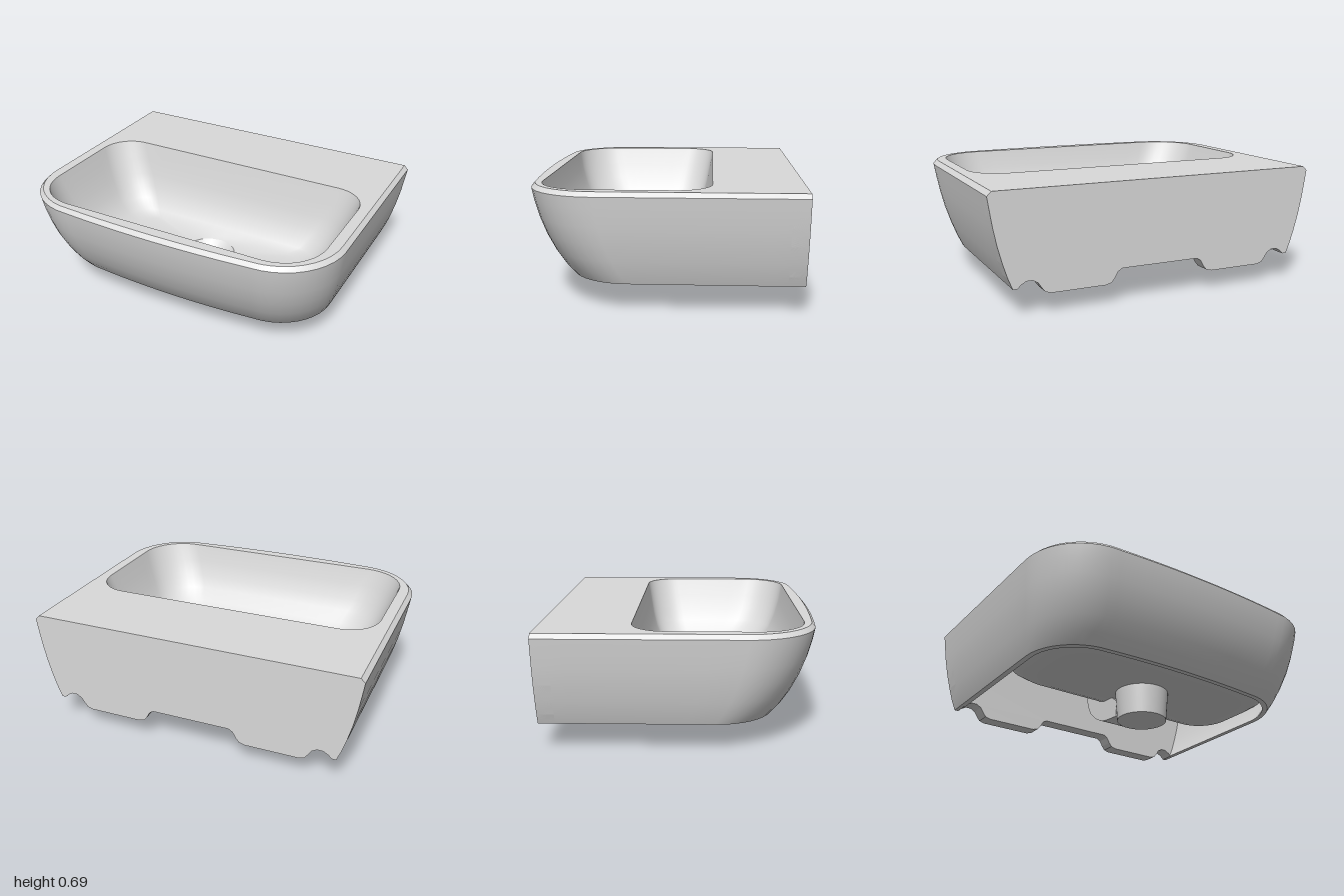
import * as THREE from 'three';

const BACK = -0.78, PLATE = 0.095, DRAIN_Z = 0.105, FOOT = 0.033;

// Plan outline running +x side -> front -> -x side; a back radius closes it with rounded back corners.
function outline({ y, w, zf, zb = BACK, r, bow = 0, rb = 0 }) {
  const pts = [];
  const line = (x0, z0, x1, z1, n) => {
    for (let i = 0; i < n; i++) pts.push([x0 + (x1 - x0) * i / n, z0 + (z1 - z0) * i / n]);
  };
  const arc = (cx, cz, rad, from) => {
    for (let i = 0; i < 10; i++) {
      const a = from + (Math.PI / 2) * i / 10;
      pts.push([cx + rad * Math.cos(a), cz + rad * Math.sin(a)]);
    }
  };
  const zc = zf - bow - r;
  line(w, zb + rb, w, zc, 6);
  arc(w - r, zc, r, 0);
  for (let i = 0; i < 12; i++) {
    const t = 1 - i / 6;
    pts.push([(w - r) * t, zf - bow * t * t]);
  }
  arc(-w + r, zc, r, Math.PI / 2);
  line(-w, zc, -w, zb + rb, 6);
  if (rb) {
    arc(-w + rb, zb + rb, rb, Math.PI);
    line(-w + rb, zb, w - rb, zb, 12);
    arc(w - rb, zb + rb, rb, Math.PI * 1.5);
  } else pts.push([-w, zb]);
  return pts.map(([x, z]) => new THREE.Vector3(x, y, z));
}

// The loop's points pulled on to a circle around the drain.
function drainRing(loop, radius, y) {
  return loop.map((p) => {
    const a = Math.atan2(p.z - DRAIN_Z, p.x);
    return new THREE.Vector3(radius * Math.cos(a), y, DRAIN_Z + radius * Math.sin(a));
  });
}

// Skin over loops: bottom to top faces outward, top to bottom faces inward.
function loft(loops, closed = false) {
  const n = loops[0].length, index = [];
  for (let j = 0; j < loops.length - 1; j++) {
    for (let i = 0; i < (closed ? n : n - 1); i++) {
      const k = (i + 1) % n;
      const a = j * n + i, b = j * n + k, c = b + n, d = a + n;
      index.push(a, d, b, b, d, c);
    }
  }
  const g = new THREE.BufferGeometry().setFromPoints(loops.flat());
  g.setIndex(index);
  g.computeVertexNormals();
  return g;
}

// Flat horizontal face with a hole, facing up or down.
function flatFace(outer, hole, up) {
  const s = up ? -1 : 1;
  const to2 = (p) => new THREE.Vector2(p.x, s * p.z);
  const shape = new THREE.Shape(outer.map(to2));
  shape.holes.push(new THREE.Path(hole.map(to2)));
  return new THREE.ShapeGeometry(shape).rotateX(s * Math.PI / 2).translate(0, outer[0].y, 0);
}

export function createModel() {
  const group = new THREE.Group();
  const ceramic = new THREE.MeshStandardMaterial({ color: 0xdadada });
  ceramic.name = 'light grey ceramic';
  const add = (name, geometry) => {
    const mesh = new THREE.Mesh(geometry, ceramic);
    mesh.name = name;
    group.add(mesh);
  };

  // Outer body: height, half width, front depth, corner radius
  const body = [
    [0.16, 0.875, 0.56, 0.34], [0.22, 0.9, 0.608, 0.35], [0.3, 0.926, 0.658, 0.36],
    [0.4, 0.953, 0.706, 0.37], [0.5, 0.974, 0.742, 0.38], [0.6, 0.99, 0.768, 0.385],
    [0.665, 1, 0.78, 0.39],
  ].map(([y, w, zf, r]) => ({ y, w, zf, r, bow: 0.025 }));
  const rim = { y: 0.69, w: 0.975, zf: 0.757, r: 0.37, bow: 0.022 };
  add('outerWall', loft(body.map(outline)));
  add('rimBevel', loft([outline(body[6]), outline(rim)]));

  // Inside of the outer wall and the narrow foot edge
  const inset = (s) =>
    outline({ ...s, w: s.w - FOOT, zf: s.zf - FOOT, zb: BACK + PLATE, r: s.r - FOOT });
  const inner = body.slice(0, 6).map(inset);
  add('innerWall', loft([...inner].reverse()));
  add('footEdge', loft([inner[0], outline({ ...body[0], zb: BACK + PLATE })]));

  // Bowl interior: height, half width, front, back, front radius, back radius
  const section = (bow) => ([y, w, zf, zb, r, rb]) => outline({ y, w, zf, zb, r, rb, bow });
  const bowl = [
    [0.69, 0.91, 0.69, -0.27, 0.27, 0.2], [0.58, 0.872, 0.668, -0.25, 0.27, 0.2],
    [0.48, 0.83, 0.635, -0.23, 0.26, 0.2], [0.4, 0.79, 0.595, -0.207, 0.25, 0.19],
    [0.33, 0.742, 0.535, -0.175, 0.23, 0.18], [0.27, 0.675, 0.455, -0.135, 0.2, 0.15],
    [0.235, 0.585, 0.36, -0.09, 0.16, 0.12],
  ].map(section(0));
  const floor = bowl[bowl.length - 1];
  const mouth = drainRing(floor, 0.165, 0.218);
  const throat = drainRing(floor, 0.105, 0.155);
  add('bowlInterior', loft([...bowl, mouth], true));
  add('drainFunnel', loft([mouth, throat], true));
  add('drainBore', loft([throat, drainRing(floor, 0.105, 0)], true));
  add('deck', flatFace(outline(rim), bowl[0], true));

  // Bowl underside and the underside of the deck
  const under = [
    [0.187, 0.68, 0.44, -0.14, 0.22, 0.17], [0.203, 0.77, 0.495, -0.19, 0.27, 0.2],
    [0.24, 0.83, 0.55, -0.235, 0.31, 0.21], [0.31, 0.877, 0.61, -0.27, 0.33, 0.21],
    [0.4, 0.906, 0.66, -0.29, 0.34, 0.21], [0.5, 0.93, 0.698, -0.302, 0.345, 0.21],
    [0.6, 0.945, 0.723, -0.31, 0.35, 0.21],
  ].map(section(0.022));
  add('bowlUnderside', loft([drainRing(under[0], 0.165, 0.182), ...under], true));
  add('deckUnderside', flatFace(inner[5], under[6], false));

  // Back plate with two mounting pads along its lower edge
  const half = [
    [0.24, 0.2], [0.265, 0.185], [0.285, 0.15], [0.305, 0.125], [0.34, 0.115],
    [0.66, 0.115], [0.695, 0.125], [0.715, 0.15], [0.735, 0.18], [0.765, 0.197],
    [0.8, 0.197], [0.83, 0.18], [0.85, 0.16],
    ...body.map((s) => [s.w, s.y]), [rim.w, rim.y],
  ];
  const edge = [...half, ...half.map(([x, y]) => [-x, y]).reverse()];
  const plateShape = new THREE.Shape(edge.map(([x, y]) => new THREE.Vector2(x, y)));
  add('backPlate', new THREE.ExtrudeGeometry(plateShape, { depth: PLATE, bevelEnabled: false })
    .translate(0, 0, BACK));

  // Drain outlet below the bowl
  const outlet = [[0.152, 0], [0.165, 0.16], [0.167, 0.2]].map(([x, y]) => new THREE.Vector2(x, y));
  add('drainOutlet', new THREE.LatheGeometry(outlet, 40).translate(0, 0, DRAIN_Z));
  add('drainBase', new THREE.CircleGeometry(0.152, 40).rotateX(Math.PI / 2).translate(0, 0, DRAIN_Z));

  // Overflow channel sweeping from the outlet up behind the bowl
  const channel = new THREE.Shape();
  channel.moveTo(0.002, 0.145);
  channel.lineTo(0.002, 0.04);
  channel.splineThru([
    [0.08, 0.045], [0.15, 0.055], [0.21, 0.08], [0.26, 0.115], [0.31, 0.165],
    [0.345, 0.25], [0.365, 0.36], [0.37, 0.6],
  ].map(([x, y]) => new THREE.Vector2(x, y)));
  channel.lineTo(0.29, 0.6);
  channel.lineTo(0.25, 0.4);
  channel.lineTo(0.16, 0.21);
  channel.lineTo(0.065, 0.19);
  add('overflowChannel', new THREE.ExtrudeGeometry(channel, { depth: 0.24, bevelEnabled: false, curveSegments: 32 })
    .rotateY(Math.PI / 2).translate(-0.12, 0, 0));

  return group;
}
